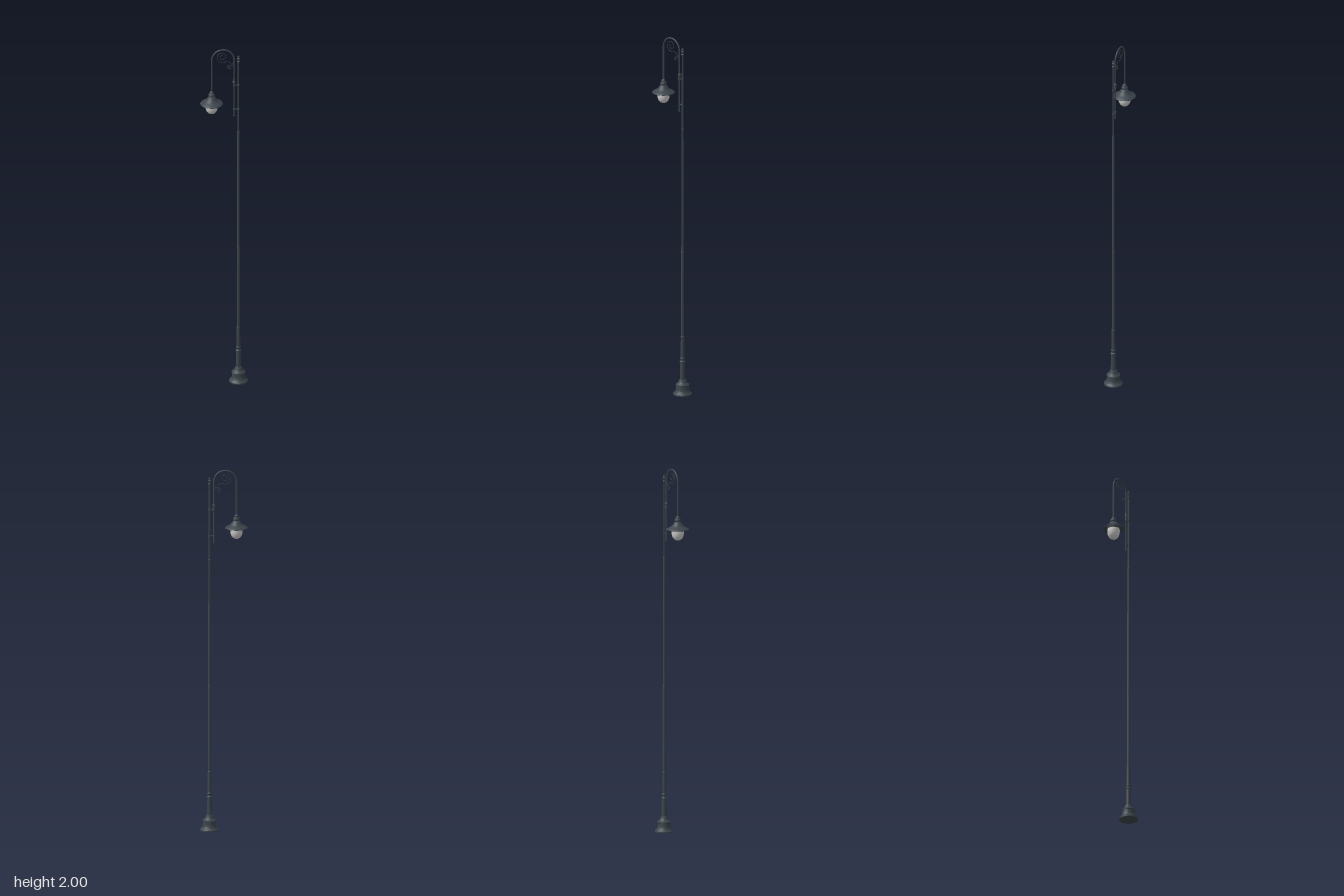
import * as THREE from 'three';

const POLE_X = 0.078, LAMP_X = -0.068, ARM_X = 0.054;

export function createModel() {
  const model = new THREE.Group();
  const iron = new THREE.MeshStandardMaterial({ color: 0x3c454c, side: THREE.DoubleSide });
  const glass = new THREE.MeshStandardMaterial({ color: 0xcccccc });

  const add = (name, geometry, x = 0, y = 0, material = iron) => {
    const mesh = new THREE.Mesh(geometry, material);
    mesh.name = name;
    mesh.position.set(x, y, 0);
    model.add(mesh);
    return mesh;
  };
  // Turned part from [radius, height] pairs; each segment gets its own edge so steps stay crisp
  const turned = (name, x, profile, segments = 32) => {
    const group = new THREE.Group();
    group.name = name;
    group.position.x = x;
    for (let i = 1; i < profile.length; i++) {
      const pair = [profile[i - 1], profile[i]].map(([r, y]) => new THREE.Vector2(r, y));
      const mesh = new THREE.Mesh(new THREE.LatheGeometry(pair, segments), iron);
      mesh.name = name + 'Section';
      group.add(mesh);
    }
    model.add(group);
  };
  const smoothLathe = (pts, segments = 40) =>
    new THREE.LatheGeometry(pts.map(([r, y]) => new THREE.Vector2(r, y)), segments);
  const tube = (pts, radius, steps, sides = 12) => new THREE.TubeGeometry(
    new THREE.CatmullRomCurve3(pts.map(([x, y]) => new THREE.Vector3(x, y, 0))), steps, radius, sides);

  // Stepped bell-shaped foot
  turned('base', POLE_X, [
    [0, 0], [0.051, 0], [0.051, 0.006], [0.047, 0.01], [0.041, 0.016], [0.037, 0.024],
    [0.035, 0.034], [0.034, 0.05], [0.037, 0.052], [0.037, 0.057], [0.033, 0.06],
    [0.027, 0.065], [0.022, 0.073], [0.019, 0.082], [0.0145, 0.085],
  ], 40);

  // Pole narrowing in steps, with rings at the joints
  turned('pole', POLE_X, [
    [0.0145, 0.085], [0.0135, 0.178], [0.0155, 0.18], [0.0155, 0.186], [0.011, 0.191],
    [0.011, 0.197], [0.013, 0.2], [0.013, 0.205], [0.0105, 0.21], [0.0095, 0.318],
    [0.0105, 0.32], [0.0105, 0.325], [0.0085, 0.33], [0.008, 0.795], [0.0085, 0.8],
    [0.007, 0.805], [0.0065, 1.495], [0.0068, 1.5], [0.0045, 1.505], [0.0042, 1.92],
  ], 24);

  // Finial on the pole top
  turned('finialCollar', POLE_X, [
    [0.0042, 1.915], [0.008, 1.918], [0.008, 1.922], [0.005, 1.926], [0.005, 1.933],
    [0.009, 1.936], [0.009, 1.94], [0.004, 1.944],
  ], 20);
  add('finialBall', new THREE.SphereGeometry(0.0065, 16, 12), POLE_X, 1.949);
  add('finialTip', new THREE.ConeGeometry(0.0025, 0.012, 12), POLE_X, 1.96);

  // Curved arm: upright, half circle, drop to the lamp
  const R = (ARM_X - LAMP_X) / 2, cx = (ARM_X + LAMP_X) / 2, cy = 1.9955 - R;
  const V = (x, y) => new THREE.Vector3(x, y, 0);
  const arm = [];
  for (let i = 0; i <= 32; i++) {
    const a = Math.PI * i / 32;
    arm.push([cx + R * Math.cos(a), cy + R * Math.sin(a)]);
  }
  add('armBow', tube(arm, 0.0045, 64));
  add('armUpright', new THREE.TubeGeometry(
    new THREE.LineCurve3(V(ARM_X, 1.6), V(ARM_X, cy)), 1, 0.004, 12));
  add('armDrop', new THREE.TubeGeometry(
    new THREE.LineCurve3(V(LAMP_X, 1.735), V(LAMP_X, cy)), 1, 0.0045, 12));
  add('armTip', new THREE.SphereGeometry(0.005, 12, 10), ARM_X, 1.597);

  // Sleeve on the upright
  turned('armSleeve', ARM_X, [
    [0.004, 1.768], [0.0065, 1.772], [0.0065, 1.795], [0.0085, 1.797], [0.0085, 1.803],
    [0.0055, 1.808], [0.0045, 1.82],
  ], 16);

  // Two clamps joining arm and pole
  for (const y of [1.635, 1.78]) {
    const bar = add('clampBar', new THREE.CylinderGeometry(0.003, 0.003, POLE_X - ARM_X, 10),
      (POLE_X + ARM_X) / 2, y);
    bar.rotation.z = Math.PI / 2;
    add('poleClamp', new THREE.CylinderGeometry(0.0068, 0.0068, 0.009, 16), POLE_X, y);
    add('armClamp', new THREE.CylinderGeometry(0.0062, 0.0062, 0.009, 16), ARM_X, y);
  }

  // Scrollwork: spirals winding inward from the arm
  const scroll = (name, x, y, r0, r1, start, turns, lead) => {
    const pts = [...lead];
    for (let i = 0; i <= 40; i++) {
      const t = i / 40, a = start + turns * Math.PI * 2 * t;
      const r = r0 + (r1 - r0) * Math.pow(t, 0.8);
      pts.push([x + r * Math.cos(a), y + r * Math.sin(a)]);
    }
    add(name, tube(pts, 0.0014, 110, 6));
    add(name + 'End', new THREE.SphereGeometry(0.0024, 10, 8), ...pts[pts.length - 1]);
  };
  scroll('largeScroll', -0.01, 1.953, 0.036, 0.008, -0.9, -1.6, [[ARM_X, 1.885], [0.036, 1.912]]);
  scroll('smallScroll', 0.029, 1.889, 0.015, 0.004, 0.9, 1.4, [[ARM_X, 1.925], [0.047, 1.91]]);

  // Lamp socket and cap
  turned('lampSocket', LAMP_X, [
    [0.0045, 1.752], [0.008, 1.748], [0.011, 1.744], [0.011, 1.738], [0.016, 1.734],
    [0.018, 1.728], [0.018, 1.722], [0.015, 1.719], [0.019, 1.716],
  ], 32);
  // Flared shade with a thin rim and hollow underside
  add('lampShade', smoothLathe([
    [0.019, 1.716], [0.023, 1.71], [0.028, 1.703], [0.033, 1.697], [0.041, 1.691],
    [0.051, 1.686], [0.059, 1.681], [0.062, 1.677],
  ]), LAMP_X);
  add('shadeLining', smoothLathe([
    [0.062, 1.677], [0.061, 1.675], [0.05, 1.681], [0.04, 1.686], [0.032, 1.688], [0.0, 1.688],
  ]), LAMP_X);
  add('globeRing', smoothLathe([[0.036, 1.688], [0.036, 1.676], [0.033, 1.676]]), LAMP_X);

  // Glass globe
  add('globe', smoothLathe([
    [0, 1.616], [0.009, 1.6175], [0.018, 1.622], [0.025, 1.6295], [0.03, 1.639],
    [0.033, 1.65], [0.034, 1.662], [0.0335, 1.674], [0.032, 1.687],
  ]), LAMP_X, 0, glass);

  return model;
}
